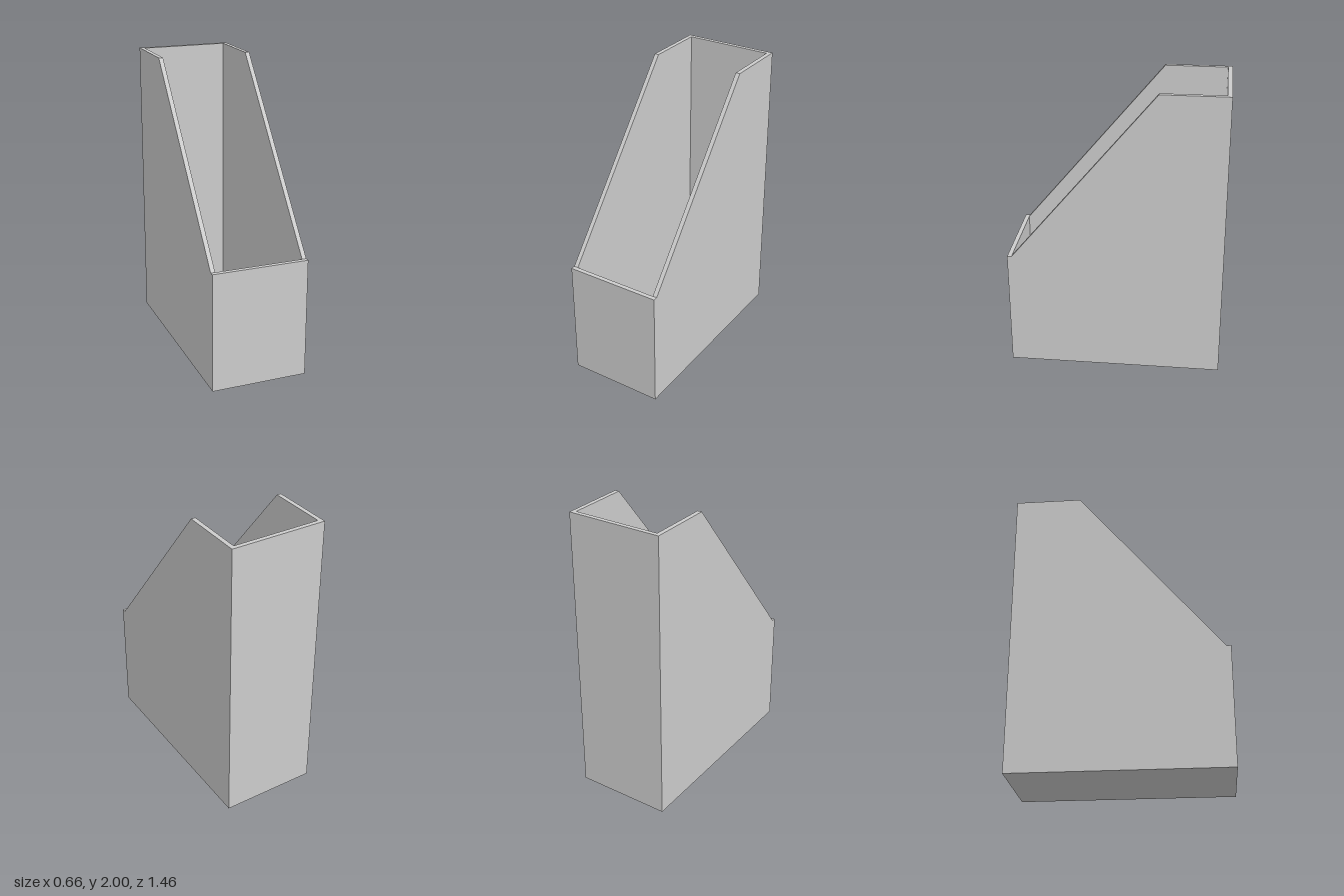
import * as THREE from 'three';

const W = 0.66, D = 1.46, H = 2, T = 0.03; // outer width, depth, height, wall thickness
const FRONT_H = 0.82;                      // height of the low front wall
const SLOPE_END = -0.28;                   // z where the slope reaches full height

export function createModel() {
  const group = new THREE.Group();
  group.name = 'magazineFile';
  const material = new THREE.MeshStandardMaterial({ color: 0xcccccc, flatShading: true });

  const add = (name, geometry, x, y, z) => {
    const mesh = new THREE.Mesh(geometry, material);
    mesh.name = name;
    mesh.position.set(x, y, z);
    group.add(mesh);
  };

  // Full-width front and back walls
  const zWall = D / 2 - T / 2;
  add('frontWall', new THREE.BoxGeometry(W, FRONT_H, T), 0, FRONT_H / 2, zWall);
  add('backWall', new THREE.BoxGeometry(W, H, T), 0, H / 2, -zWall);

  // Floor between the walls
  add('floor', new THREE.BoxGeometry(W - 2 * T, T, D - 2 * T), 0, T / 2, 0);

  // Sloping side walls: profile drawn in (z, y), extruded along x
  const zIn = D / 2 - T;
  const profile = new THREE.Shape([
    [-zIn, 0], [zIn, 0], [zIn, FRONT_H], [SLOPE_END, H], [-zIn, H],
  ].map(([z, y]) => new THREE.Vector2(z, y)));
  const side = new THREE.ExtrudeGeometry(profile, { depth: T, bevelEnabled: false });
  side.translate(0, 0, -T / 2).rotateY(-Math.PI / 2);
  add('leftWall', side, W / 2 - T / 2, 0, 0);
  add('rightWall', side, -W / 2 + T / 2, 0, 0);

  return group;
}
